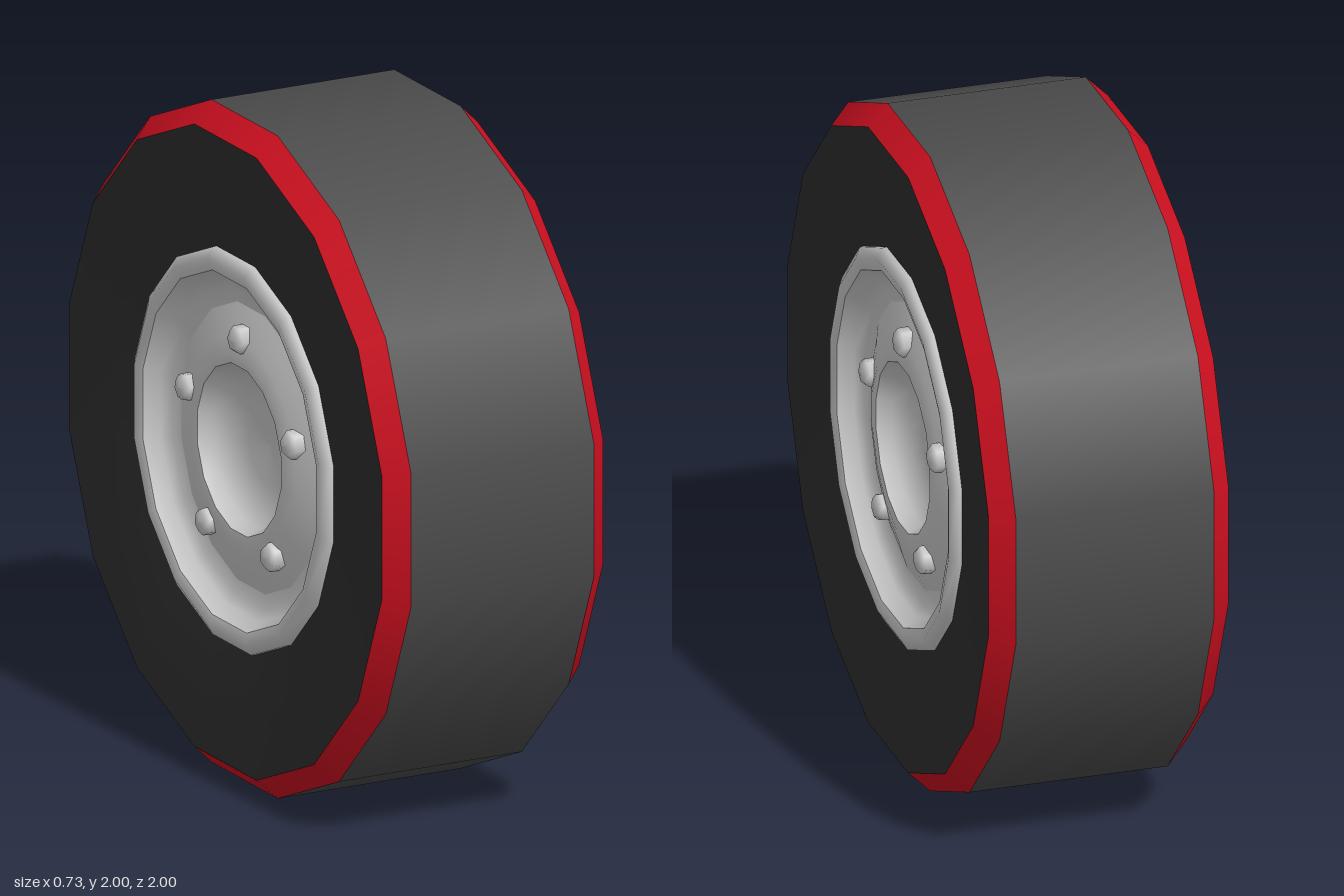
import * as THREE from 'three';

const SIDES = 16;
const rubber = new THREE.MeshStandardMaterial({ color: 0x4a4a4a });
const darkRubber = new THREE.MeshStandardMaterial({ color: 0x2e2e2e });
const red = new THREE.MeshStandardMaterial({ color: 0xd01020 });
const metal = new THREE.MeshStandardMaterial({ color: 0xcccccc });

// Revolves [radius, x] points about the x axis, a flat resting at the bottom
function ring(name, points, material, sides = SIDES) {
  const profile = points.map(([r, x]) => new THREE.Vector2(r, x));
  const geometry = new THREE.LatheGeometry(profile, sides, Math.PI / sides);
  geometry.rotateZ(-Math.PI / 2);
  const mesh = new THREE.Mesh(geometry, material);
  mesh.name = name;
  return mesh;
}

// Everything on one face of the wheel, facing +x
function makeFace(name) {
  const face = new THREE.Group();
  face.name = name;
  face.add(
    ring('redShoulder', [[1.02, 0.3], [0.958, 0.363]], red),
    ring('sidewall', [[0.958, 0.363], [0.8, 0.352], [0.68, 0.34], [0.57, 0.325]], darkRubber),
    ring('rimLip', [[0.598, 0.32], [0.596, 0.342], [0.565, 0.36], [0.53, 0.35]], metal),
    ring('rimWall', [[0.53, 0.35], [0.505, 0.305], [0.47, 0.285], [0.428, 0.278]], metal),
    ring('wheelDisc', [[0.428, 0.278], [0.38, 0.295], [0.33, 0.31], [0.285, 0.32], [0.255, 0.318]], metal),
    ring('hubBowl', [[0.255, 0.318], [0.235, 0.275], [0.19, 0.24], [0.12, 0.222], [0, 0.215]], metal),
  );

  // Five domed hexagonal nuts
  for (let i = 0; i < 5; i++) {
    const nut = ring('wheelNut', [[0.044, -0.01], [0.043, 0.022], [0.03, 0.036], [0, 0.04]], metal, 6);
    // Turn a corner of the hexagon towards the rim
    nut.geometry.rotateX(Math.PI / 6);
    nut.position.set(0.305, 0.333, 0);
    const arm = new THREE.Group();
    arm.name = 'nutMount';
    arm.rotation.x = (i * Math.PI * 2) / 5;
    arm.add(nut);
    face.add(arm);
  }
  return face;
}

export function createModel() {
  const wheel = new THREE.Group();
  wheel.name = 'wheel';
  wheel.add(ring('tread', [[1.02, -0.3], [1.02, 0.3]], rubber));

  // The same face on both sides
  const left = makeFace('leftFace');
  const right = makeFace('rightFace');
  right.rotation.y = Math.PI;
  wheel.add(left, right);

  wheel.position.y = 1;
  const model = new THREE.Group();
  model.name = 'wheelModel';
  model.add(wheel);
  return model;
}
